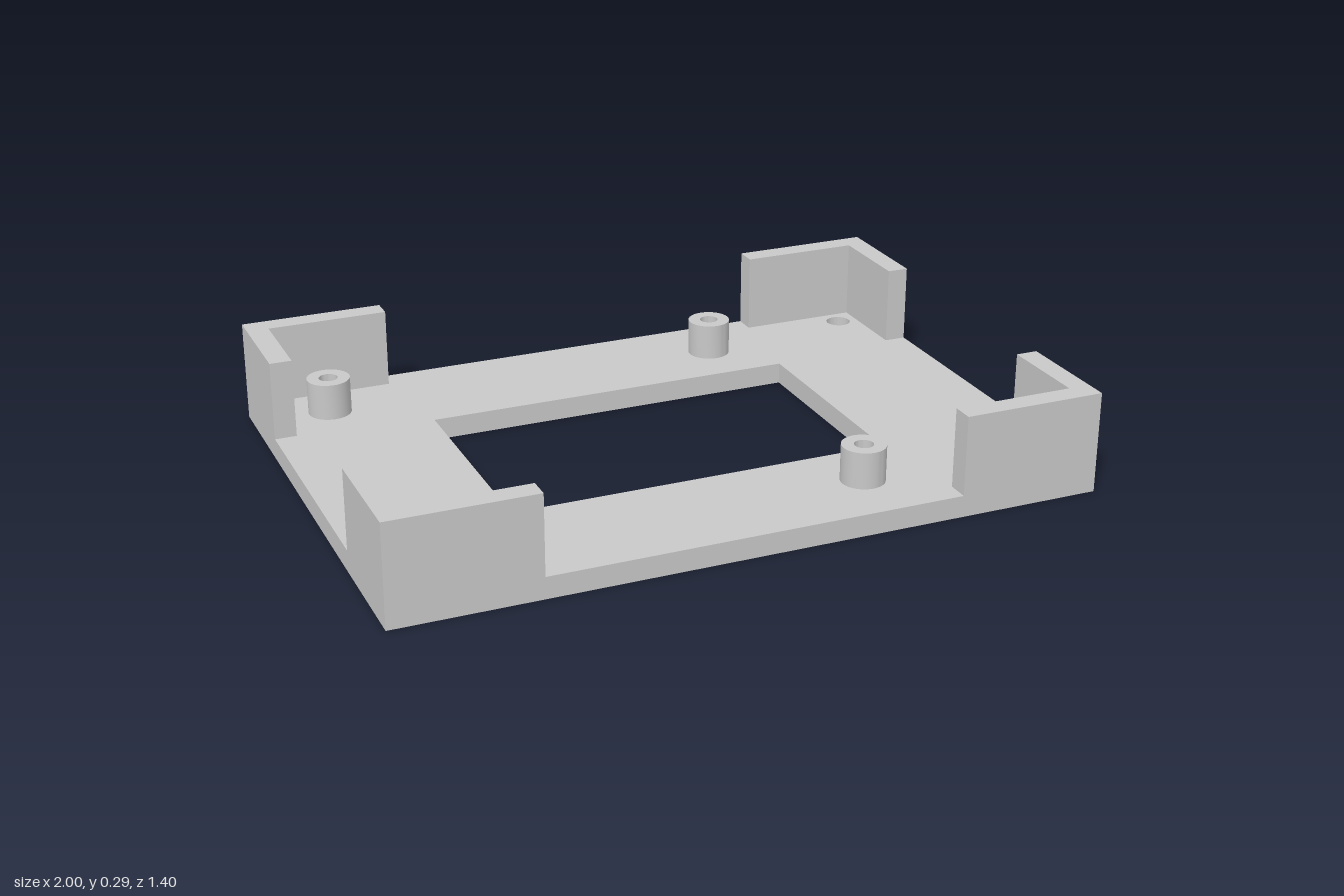
import * as THREE from 'three';
import { toCreasedNormals } from 'three/addons/utils/BufferGeometryUtils.js';

const HALF_X = 1, HALF_Z = 0.7;
const PLATE = 0.062, WALL_TOP = 0.29, WALL = 0.0625, POST_TOP = 0.167;
const POST_R = 0.062, SCREW_R = 0.027, MOUNT_R = 0.037;

// Plan points are [x, z]; shapes use y = -z so that extrusion turns upright
const polygon = (points, Type = THREE.Shape) =>
  new Type(points.map(([x, z]) => new THREE.Vector2(x, -z)));

const circle = (x, z, r, Type = THREE.Path) => {
  const c = new Type();
  c.absarc(x, -z, r, 0, Math.PI * 2, false);
  return c;
};

// Centred rectangle, counter-clockwise like the circles
const rectangle = (hx, hz) => [[-hx, hz], [hx, hz], [hx, -hz], [-hx, -hz]];

// Extrude a plan shape from height y0 to y1
function slab(shape, y0, y1) {
  const geometry = new THREE.ExtrudeGeometry(shape, {
    depth: y1 - y0, bevelEnabled: false, curveSegments: 20,
  });
  geometry.rotateX(-Math.PI / 2);
  geometry.translate(0, y0, 0);
  return toCreasedNormals(geometry, 0.6);
}

export function createModel() {
  const model = new THREE.Group();
  model.name = 'mountingTray';
  const grey = new THREE.MeshStandardMaterial({ color: 0xc8c8c8 });
  grey.name = 'grey plastic';

  const add = (name, geometry) => {
    const mesh = new THREE.Mesh(geometry, grey);
    mesh.name = name;
    model.add(mesh);
  };

  const posts = [];
  for (const x of [-0.805, 0.391]) for (const z of [-0.505, 0.505]) posts.push([x, z]);

  // Base plate with window, screw holes and two mounting holes
  const plate = polygon(rectangle(HALF_X, HALF_Z));
  plate.holes.push(
    polygon(rectangle(0.547, 0.328), THREE.Path),
    circle(0.877, -0.578, MOUNT_R),
    circle(-0.877, 0.578, MOUNT_R),
    ...posts.map(([x, z]) => circle(x, z, SCREW_R)),
  );
  add('basePlate', slab(plate, 0, PLATE));

  // Hollow screw posts
  for (const [x, z] of posts) {
    const ring = circle(x, z, POST_R, THREE.Shape);
    ring.holes.push(circle(x, z, SCREW_R));
    add('screwPost', slab(ring, PLATE, POST_TOP));
  }

  // L-shaped corner walls
  const corner = [
    [HALF_X, HALF_Z], [0.59, HALF_Z], [0.59, HALF_Z - WALL],
    [HALF_X - WALL, HALF_Z - WALL], [HALF_X - WALL, 0.372], [HALF_X, 0.372],
  ];
  for (const sx of [-1, 1]) {
    for (const sz of [-1, 1]) {
      const shape = polygon(corner.map(([x, z]) => [x * sx, z * sz]));
      add('cornerWall', slab(shape, PLATE, WALL_TOP));
    }
  }
  return model;
}
